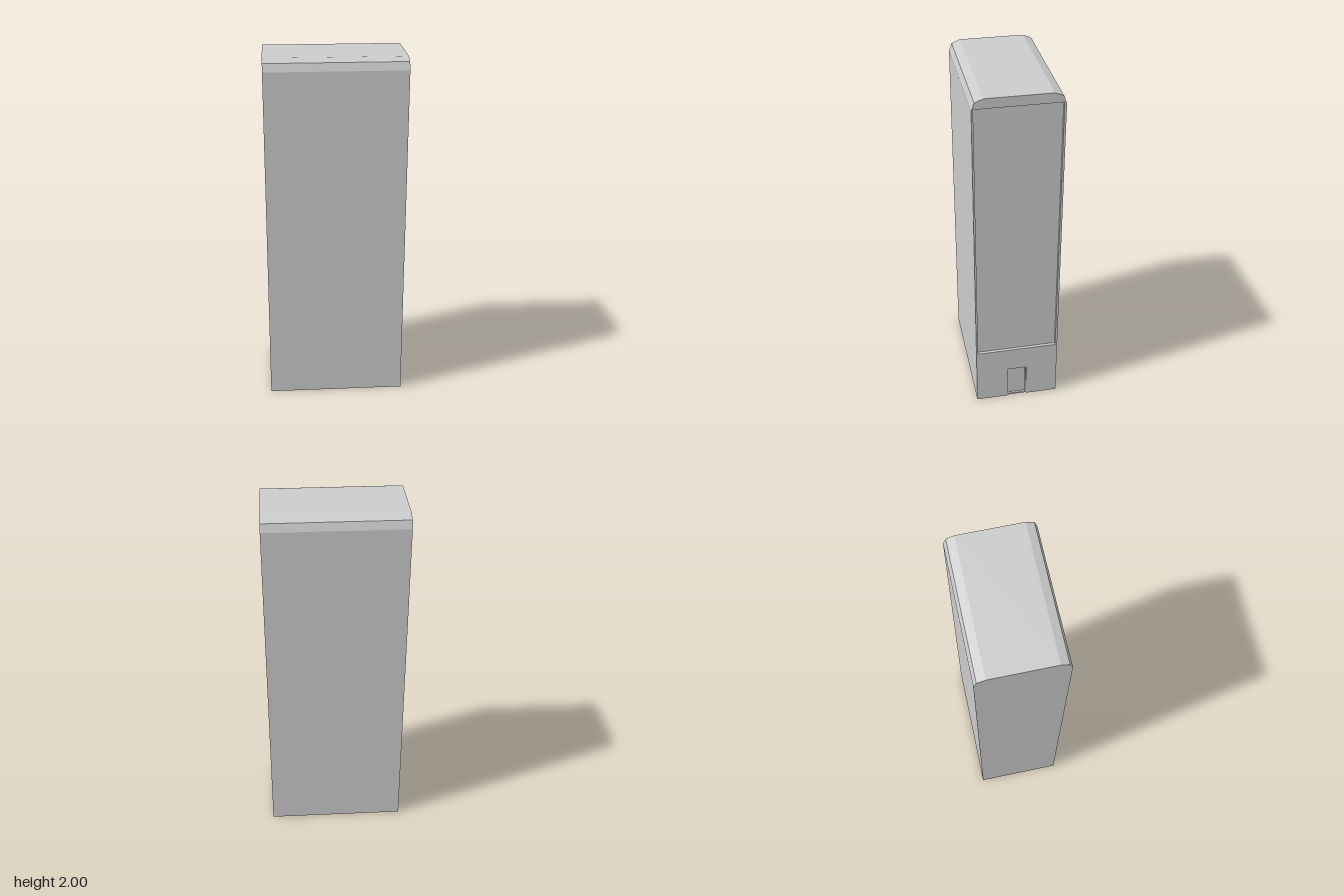
import * as THREE from 'three';

const material = new THREE.MeshStandardMaterial({ color: 0xcccccc, flatShading: true });
const HALF_X = 0.39, RECESS = 0.018;

// Doorway opening in the gable wall (half width, height)
const DOOR_W = 0.059, DOOR_H = 0.215;

const points = (list) => list.map(([a, b]) => new THREE.Vector2(a, b));
const rect = (a0, b0, a1, b1) => points([[a0, b0], [a1, b0], [a1, b1], [a0, b1]]);

// Extrudes a side profile (-z, y) along x, between x0 and x1
function extrudeX(name, shape, x0, x1) {
  const geometry = new THREE.ExtrudeGeometry(shape, { depth: x1 - x0, bevelEnabled: false });
  geometry.rotateY(Math.PI / 2).translate(x0, 0, 0);
  const mesh = new THREE.Mesh(geometry, material);
  mesh.name = name;
  return mesh;
}

// Tower outline with faceted shoulders; extra points notch the bottom edge
function towerShape(bottomNotch = []) {
  const shoulder = [[0.243, 0], [0.243, 1.937], [0.227, 1.981], [0.181, 2]];
  const mirrored = shoulder.map(([a, y]) => [-a, y]).reverse();
  return new THREE.Shape(points([...shoulder, ...mirrored, ...bottomNotch]));
}

export function createModel() {
  const model = new THREE.Group();
  model.name = 'tower';

  // Solid body, whose end also forms the back of the recesses
  model.add(extrudeX('body', towerShape(), -HALF_X, HALF_X - RECESS));

  // Gable wall with the tall panel opening and the doorway cut out
  const wall = towerShape([[-DOOR_W, 0], [-DOOR_W, DOOR_H], [DOOR_W, DOOR_H], [DOOR_W, 0]]);
  wall.holes.push(new THREE.Path(rect(-0.233, 0.36, 0.231, 1.945)));
  model.add(extrudeX('gableWall', wall, HALF_X - RECESS, HALF_X));

  // Thin door frame with a low threshold, set slightly back
  const frame = new THREE.Shape(rect(-DOOR_W, 0, DOOR_W, DOOR_H));
  frame.holes.push(new THREE.Path(rect(-0.052, 0.01, 0.052, 0.206)));
  model.add(extrudeX('doorFrame', frame, HALF_X - RECESS, HALF_X - 0.006));

  return model;
}
